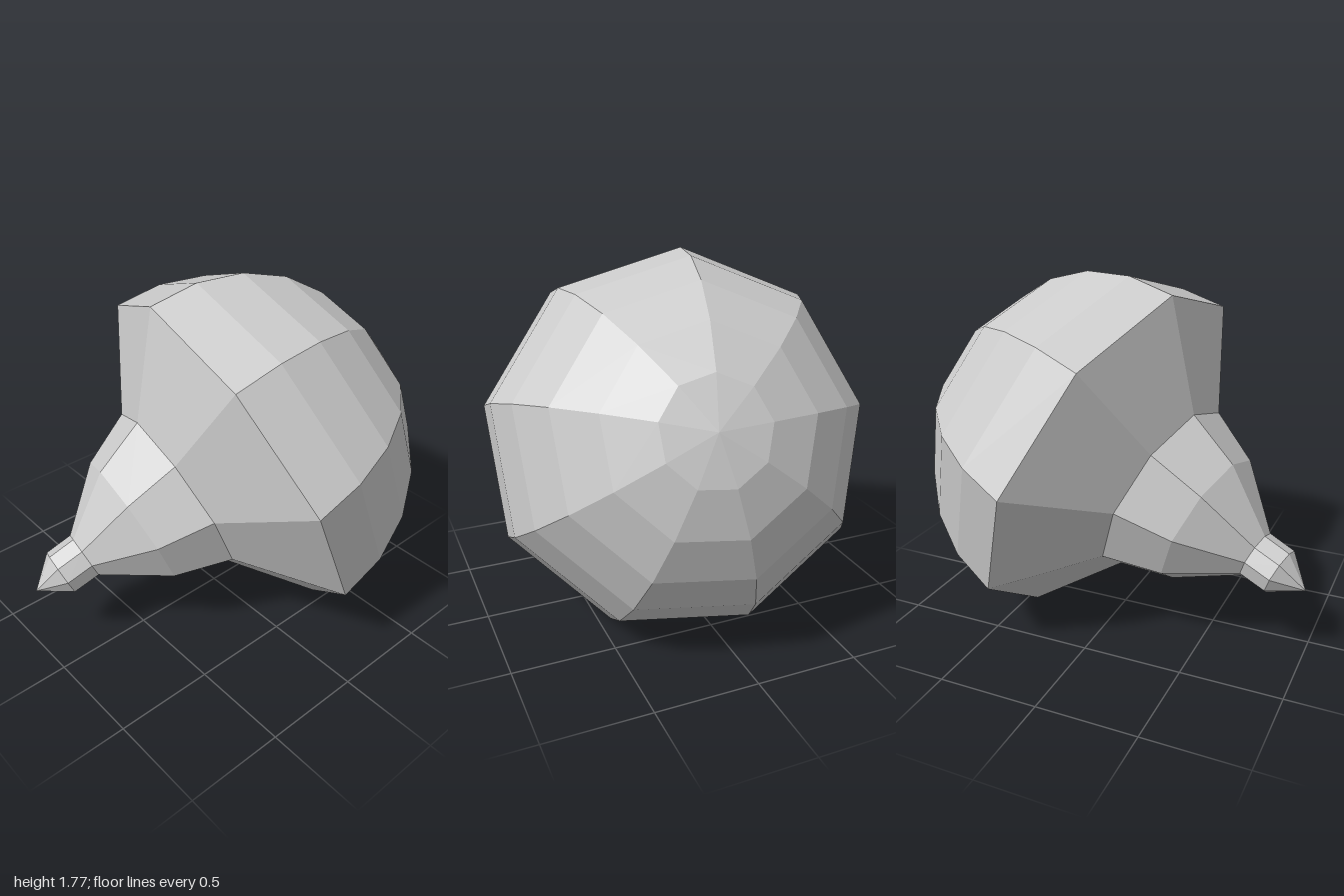
import * as THREE from 'three';

const SIDES = 9;
const RADIUS = 0.943;

export function createModel() {
  const model = new THREE.Group();
  const top = new THREE.Group();
  top.name = 'spinningTop';
  model.add(top);

  const material = new THREE.MeshStandardMaterial({ color: 0xcccccc, flatShading: true });

  // One faceted section of the turned body; profile is [radius, height] from tip to dome
  function turned(name, profile) {
    const points = profile.map(([r, y]) => new THREE.Vector2(r, y));
    const mesh = new THREE.Mesh(new THREE.LatheGeometry(points, SIDES), material);
    mesh.name = name;
    top.add(mesh);
  }

  // Pointed foot and short collar
  turned('tip', [[0, -1.169], [0.122, -1.02]]);
  turned('collar', [[0.122, -1.02], [0.124, -0.88]]);
  // Flared stem
  turned('stem', [[0.124, -0.88], [0.36, -0.59], [0.47, -0.316]]);
  // Wide underside reaching the rim
  turned('underside', [[0.47, -0.316], [RADIUS, 0]]);
  // Hemispherical dome in 15 degree rings
  const dome = [];
  for (let i = 0; i <= 6; i++) {
    const a = (i * Math.PI) / 12;
    dome.push([i === 6 ? 0 : RADIUS * Math.cos(a), RADIUS * Math.sin(a)]);
  }
  turned('dome', dome);

  // Lean the whole top over onto its rim, with one rim corner along "corner"
  const axis = new THREE.Vector3(0.171, 0.383, -0.907).normalize();
  const corner = new THREE.Vector3(0.52, 0.747, 0.416).projectOnPlane(axis).normalize();
  const side = new THREE.Vector3().crossVectors(axis, corner);
  top.quaternion.setFromRotationMatrix(new THREE.Matrix4().makeBasis(side, axis, corner));
  top.position.set(0.02, 0.838, -0.061);

  return model;
}
